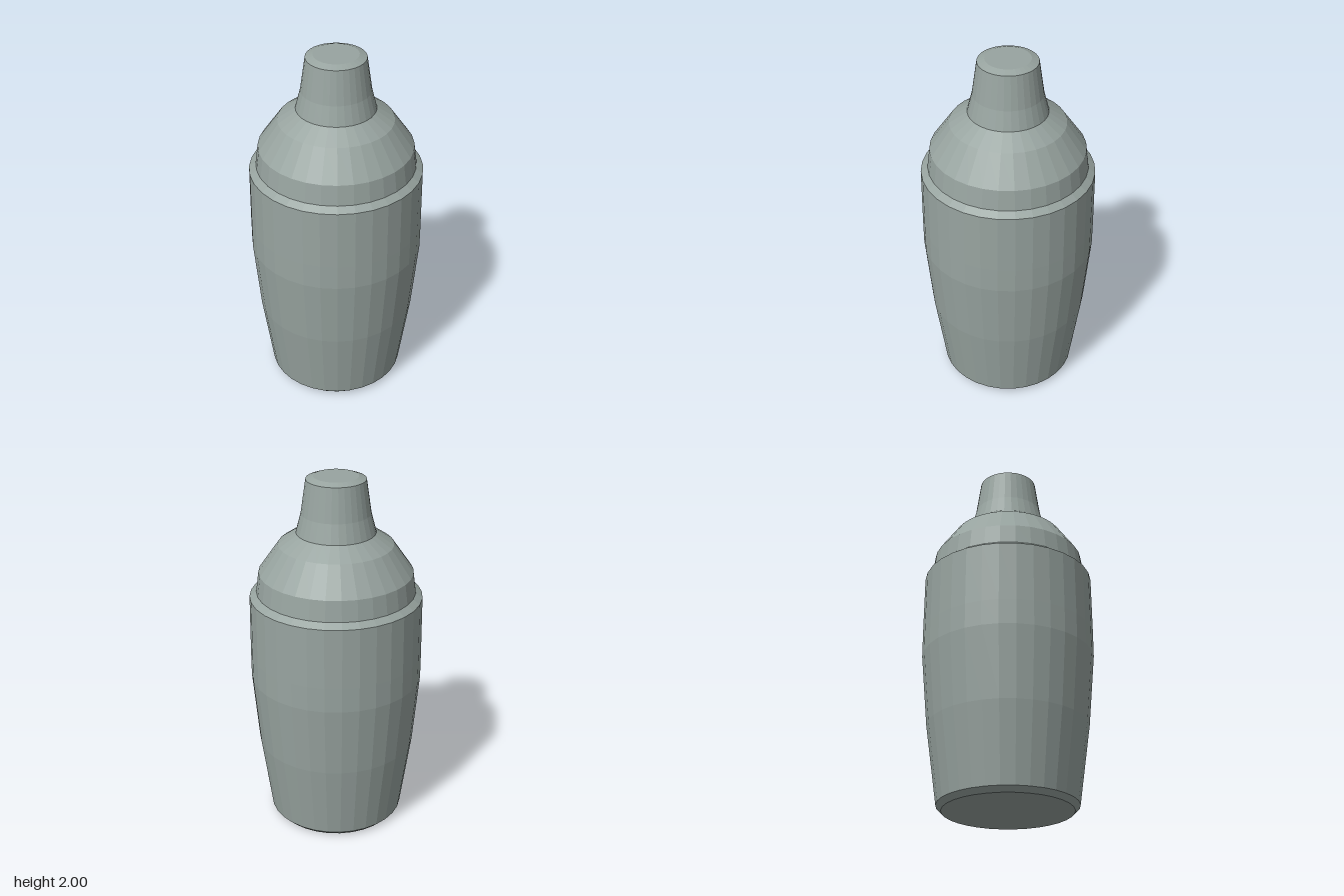
import * as THREE from 'three';

const SIDES = 32;
const material = new THREE.MeshStandardMaterial({ color: 0x98a4a0, flatShading: true });

// Faceted solid of revolution from [radius, height] pairs, bottom to top
function turned(name, profile) {
  const points = profile.map(([r, y]) => new THREE.Vector2(r, y));
  const mesh = new THREE.Mesh(new THREE.LatheGeometry(points, SIDES), material);
  mesh.name = name;
  return mesh;
}

export function createModel() {
  const group = new THREE.Group();
  group.name = 'cocktailShaker';

  // Tapered cup with bevelled base and rim
  group.add(turned('cup', [
    [0, 0], [0.35, 0], [0.378, 0.028], [0.438, 0.46], [0.473, 0.86],
    [0.473, 1.0], [0.47, 1.335], [0.433, 1.362], [0, 1.362],
  ]));

  // Domed strainer lid
  group.add(turned('strainerLid', [
    [0.433, 1.362], [0.418, 1.475], [0.31, 1.63], [0.214, 1.695], [0, 1.695],
  ]));

  // Small flared cap with bevelled top
  group.add(turned('cap', [
    [0.214, 1.695], [0.187, 1.8], [0.16, 1.985], [0.12, 2], [0, 2],
  ]));

  return group;
}
